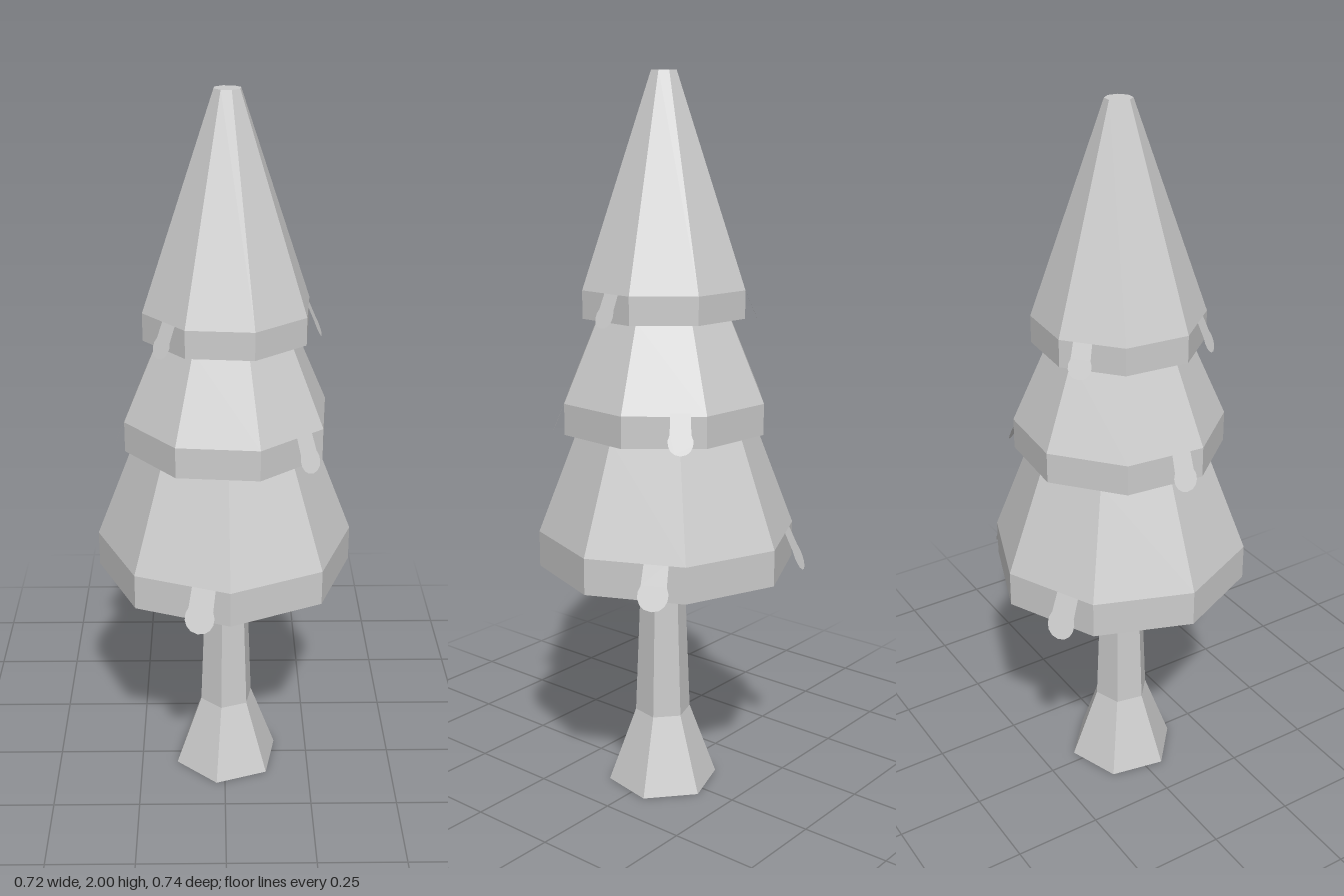
import * as THREE from 'three';

const DEG = Math.PI / 180;

// Faceted solid turned from a [radius, height] profile, listed bottom to top
function faceted(name, profile, sides, startDeg, material) {
  const points = profile.map(([r, y]) => new THREE.Vector2(r, y));
  const flat = new THREE.LatheGeometry(points, sides, startDeg * DEG).toNonIndexed();
  flat.computeVertexNormals();
  const mesh = new THREE.Mesh(flat, material);
  mesh.name = name;
  return mesh;
}

// Rounded tongue, tip at the origin, growing up to height h
function dripShape(w, h) {
  const s = new THREE.Shape();
  s.moveTo(-w * 0.4, h);
  s.lineTo(-w * 0.42, h * 0.5);
  s.bezierCurveTo(-w * 0.62, h * 0.3, -w * 0.45, 0, 0, 0);
  s.bezierCurveTo(w * 0.45, 0, w * 0.62, h * 0.3, w * 0.42, h * 0.5);
  s.lineTo(w * 0.4, h);
  s.closePath();
  return new THREE.ShapeGeometry(s, 5);
}

export function createModel() {
  const group = new THREE.Group();
  group.name = 'pineTree';
  const grey = new THREE.MeshStandardMaterial({ color: 0xcccccc, flatShading: true });
  grey.name = 'lightGrey';
  const dripGrey = grey.clone();
  dripGrey.name = 'lightGreyThin';
  dripGrey.side = THREE.DoubleSide;

  // Hexagonal trunk with a flared foot
  const trunk = faceted('trunk',
    [[0, 0], [0.157, 0], [0.079, 0.215], [0.061, 0.67], [0, 0.67]], 6, -11, grey);
  trunk.position.x = 0.005;
  group.add(trunk);

  // Foliage tiers; drips are [face normal angle, sideways shift]
  const tiers = [
    { name: 'lowerTier', x: 0, z: -0.012, start: 2, r: 0.358, top: 0.245, y: [0.665, 0.765, 1.058],
      w: 0.083, out: 0.05, drips: [[-20.5, 0.062], [114.5, 0.058], [204.5, 0.055]] },
    { name: 'middleTier', x: 0.006, z: -0.005, start: 17, r: 0.288, top: 0.188, y: [1.055, 1.14, 1.368],
      w: 0.066, out: 0.038, drips: [[-95.5, 0.045], [39.5, 0.042], [129.5, 0.042]] },
    { name: 'upperTier', x: 0.007, z: -0.005, start: 17, r: 0.232, top: 0.036, y: [1.365, 1.44, 2],
      w: 0.063, out: 0.037, drips: [[84.5, 0.023], [-50.5, 0.023], [-140.5, -0.025]] },
  ];

  for (const t of tiers) {
    const [y0, y1, y2] = t.y;
    const tier = new THREE.Group();
    tier.name = t.name;
    tier.position.set(t.x, 0, t.z);
    tier.add(faceted('foliage',
      [[0, y0], [t.r, y0], [t.r, y1], [t.top, y2], [0, y2]], 8, t.start, grey));

    // Drips hang over the rim and lean outward
    const apothem = t.r * Math.cos(Math.PI / 8);
    const tipY = y0 - 0.01;
    const rise = y1 - tipY;
    const lean = Math.atan2(t.out, rise);
    const geometry = dripShape(t.w, Math.hypot(rise, t.out) * 1.08);
    for (const [angle, shift] of t.drips) {
      const pivot = new THREE.Group();
      pivot.name = 'dripPivot';
      pivot.rotation.y = angle * DEG;
      const drip = new THREE.Mesh(geometry, dripGrey);
      drip.name = 'drip';
      drip.position.set(shift, tipY, apothem + t.out);
      drip.rotation.x = -lean;
      pivot.add(drip);
      tier.add(pivot);
    }
    group.add(tier);
  }
  return group;
}
